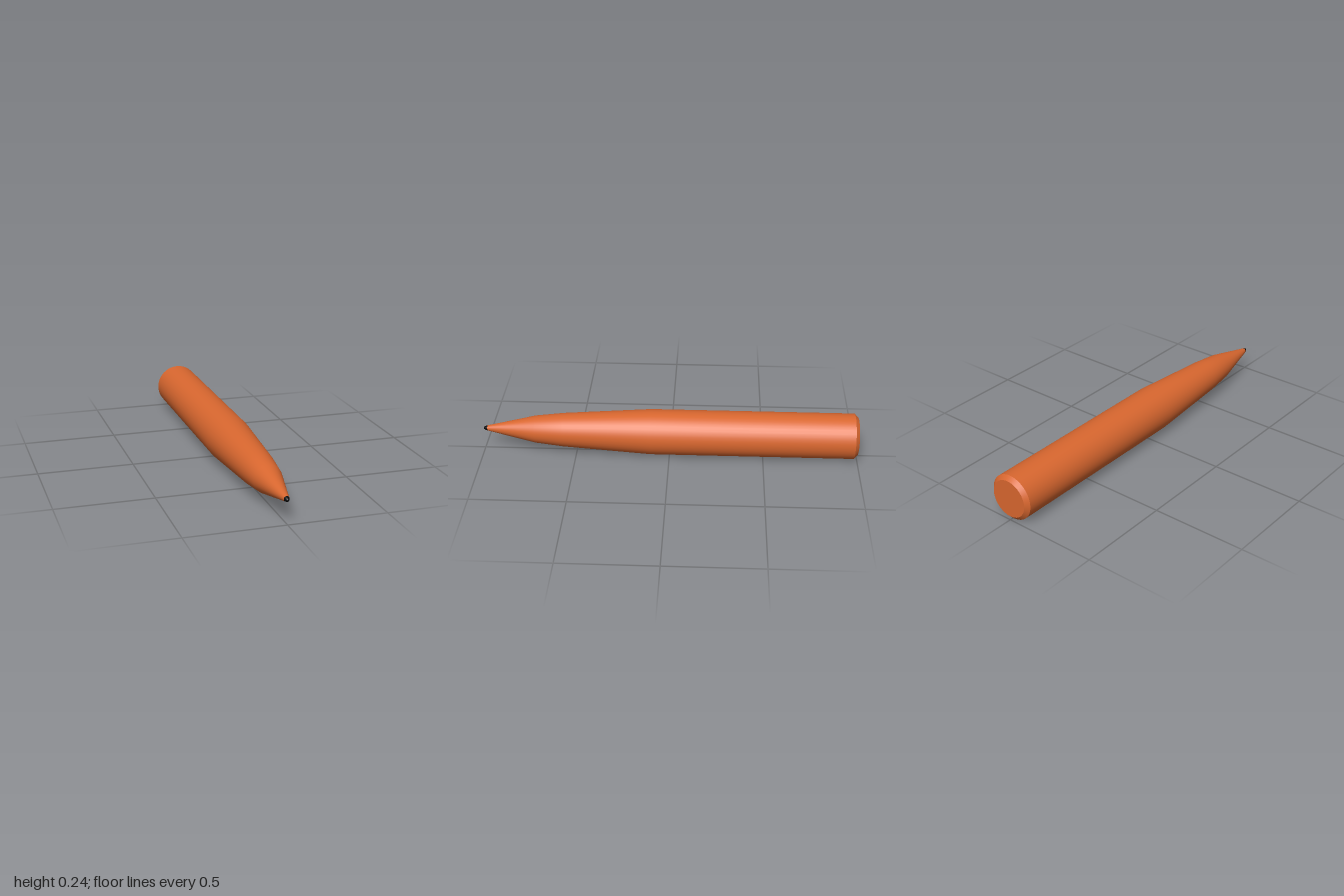
import * as THREE from 'three';

const RADIUS = 0.121;
const SIDES = 40;

export function createModel() {
  const model = new THREE.Group();
  model.name = 'crayon';
  const wax = new THREE.MeshStandardMaterial({ color: 0xd9672f });
  const black = new THREE.MeshStandardMaterial({ color: 0x080808 });

  // Turns a [radius, z] profile, listed back to front, around the long axis
  const turn = (name, profile, material) => {
    const points = profile.map(([r, z]) => new THREE.Vector2(r, z));
    const geometry = new THREE.LatheGeometry(points, SIDES);
    geometry.rotateX(Math.PI / 2);
    const mesh = new THREE.Mesh(geometry, material);
    mesh.name = name;
    mesh.position.y = RADIUS;
    model.add(mesh);
  };

  // Flat back end and its bevel, kept separate so their edges stay sharp
  turn('endCap', [[0, -1], [0.1, -1]], wax);
  turn('endBevel', [[0.1, -1], [RADIUS, -0.98]], wax);

  // Straight barrel running into the tapered nose
  turn('body', [
    [RADIUS, -0.98], [RADIUS, 0.1], [0.09, 0.57], [0.073, 0.72], [0.014, 0.98],
  ], wax);

  // Small dark writing point
  turn('tip', [[0.014, 0.98], [0.011, 0.99], [0.005, 1], [0, 1]], black);

  return model;
}
